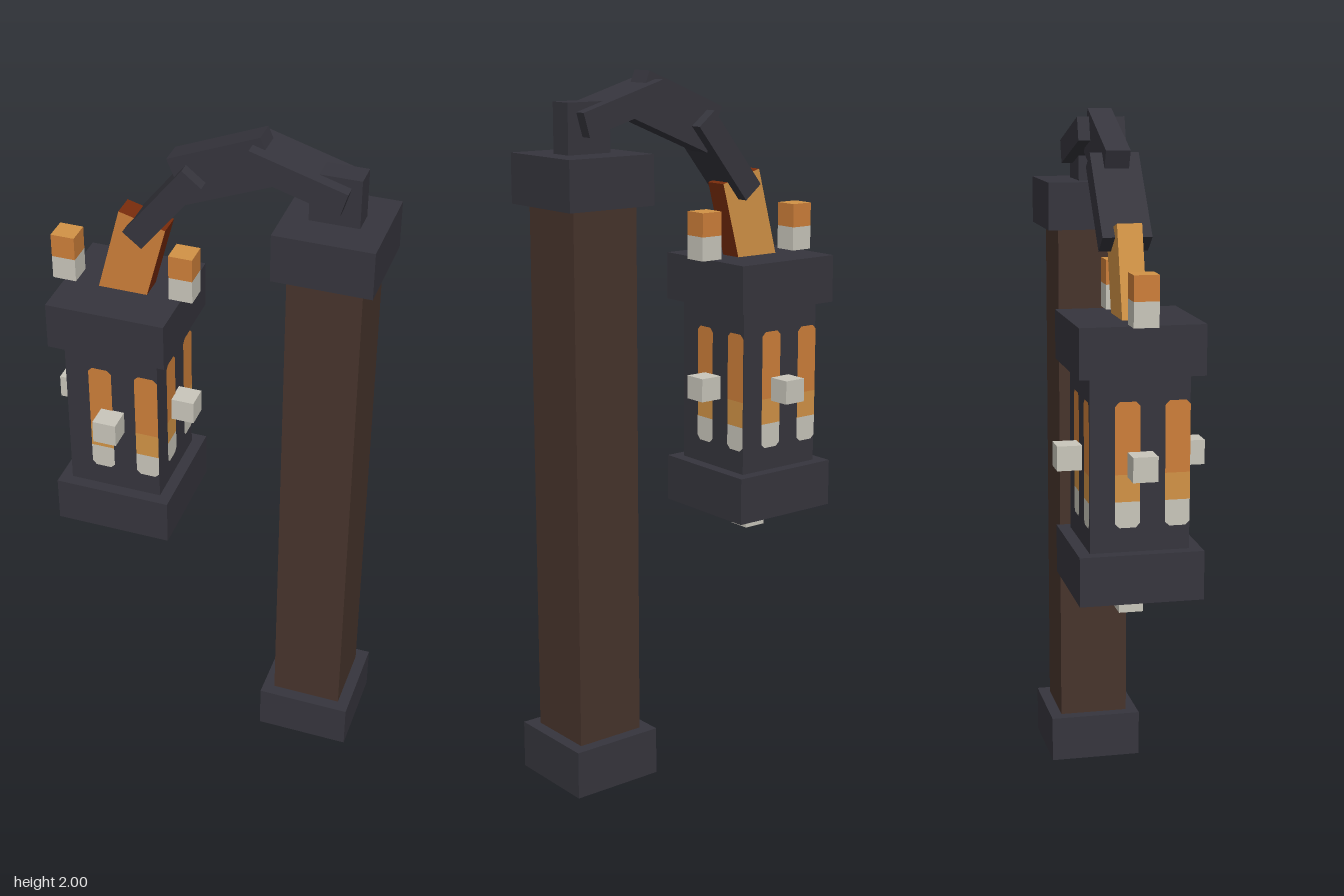
import * as THREE from 'three';

const U = 0.0687; // size of one block unit

const mat = (name, color) => {
  const m = new THREE.MeshStandardMaterial({ color });
  m.name = name;
  return m;
};

export function createModel() {
  const iron = mat('dark iron', 0x36353d);
  const wood = mat('brown wood', 0x47342c);
  const wax = mat('pale wax', 0xc9c6bb);
  const orange = mat('flame orange', 0xcd7f3a);
  const gold = mat('flame gold', 0xd29346);
  const ember = mat('ember red', 0x782b0b);

  const model = new THREE.Group();
  model.name = 'lanternPost';

  // Box sized in block units, placed by its centre
  const box = (parent, name, material, size, pos, tilt = 0) => {
    const mesh = new THREE.Mesh(new THREE.BoxGeometry(...size.map((s) => s * U)), material);
    mesh.name = name;
    mesh.position.set(...pos);
    mesh.rotation.z = THREE.MathUtils.degToRad(tilt);
    parent.add(mesh);
    return mesh;
  };

  // Post
  const px = 0.329;
  box(model, 'postBase', iron, [4, 2, 4], [px, U, 0]);
  box(model, 'post', wood, [3, 22, 3], [px, 13 * U, 0]);
  box(model, 'postCap', iron, [4, 2, 4], [px, 25 * U, 0]);
  box(model, 'bracketBlock', iron, [2, 2, 1], [px, 27 * U, 0]);

  // Curved arm made of tilted bars
  box(model, 'armInner', iron, [4, 1, 2], [0.229, 1.904, 0], -16.5);
  box(model, 'armMiddle', iron, [4, 2, 1], [0.026, 1.883, 0], 22.5);
  box(model, 'armOuter', iron, [4, 1, 2], [-0.132, 1.757, 0], 51.5);

  // Lantern, with its origin at the underside
  const lantern = new THREE.Group();
  lantern.name = 'lantern';
  lantern.position.set(-0.2655, 0.705, 0);
  model.add(lantern);
  box(lantern, 'lanternBase', iron, [5, 2, 5], [0, U, 0]);
  box(lantern, 'lanternBody', iron, [4, 7, 4], [0, 5.5 * U, 0]);
  box(lantern, 'lanternCap', iron, [5, 2, 5], [0, 10 * U, 0]);
  box(lantern, 'bottomStud', wax, [1, 1, 1], [0, -0.5 * U, 0]);

  // Glowing stem between cap and arm: +x, -x, top, bottom, front, back
  box(model, 'stem', [ember, gold, ember, ember, orange, gold],
    [2, 4, 1], [-0.2365, 1.56, 0], -15);

  // Candles on the cap
  for (const side of [-1, 1]) {
    const x = side * 2.5 * U;
    box(lantern, 'candle', wax, [1, 1, 1], [x, 11.5 * U, 0]);
    box(lantern, 'candleFlame', [orange, orange, gold, orange, orange, orange],
      [1, 1, 1], [x, 12.5 * U, 0]);
  }

  // Flat pane with optionally clipped top or bottom corners
  const pane = (parent, name, material, x, y0, y1, clipTop, clipBottom) => {
    const h = U / 2, t = clipTop ? 0.012 : 0, b = clipBottom ? 0.012 : 0;
    const shape = new THREE.Shape([
      [-h + b, y0], [h - b, y0], [h, y0 + b], [h, y1 - t],
      [h - t, y1], [-h + t, y1], [-h, y1 - t], [-h, y0 + b],
    ].map((p) => new THREE.Vector2(...p)));
    const mesh = new THREE.Mesh(new THREE.ShapeGeometry(shape), material);
    mesh.name = name;
    mesh.position.set(x, 0, 2 * U + 0.002);
    parent.add(mesh);
  };

  // Four identical sides: a stud and two candle-shaped windows
  for (let i = 0; i < 4; i++) {
    const side = new THREE.Group();
    side.name = 'lanternSide';
    side.rotation.y = (i * Math.PI) / 2;
    lantern.add(side);
    box(side, 'sideStud', wax, [1, 1, 1], [0, 0.379, 2.5 * U]);
    for (const x of [-0.5 * U, 1.5 * U]) {
      pane(side, 'windowFlame', orange, x, 0.352, 0.55, true, false);
      pane(side, 'windowGlow', gold, x, 0.277, 0.352, false, false);
      pane(side, 'windowCandle', wax, x, 0.205, 0.277, false, true);
    }
  }

  return model;
}
